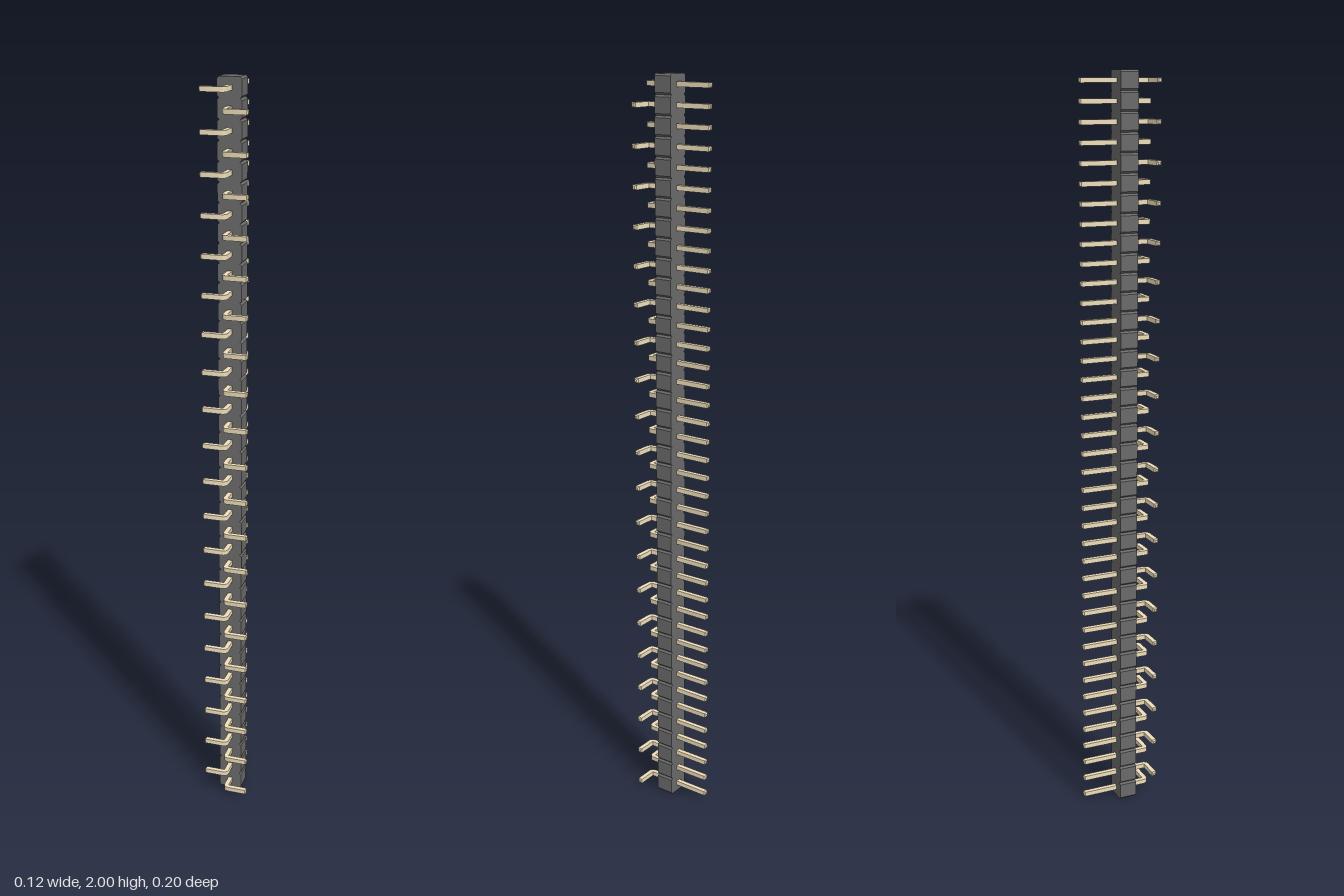
import * as THREE from 'three';
import { toCreasedNormals } from 'three/addons/utils/BufferGeometryUtils.js';

const COUNT = 40, PITCH = 0.05;
const PIN = 0.0126; // square pin thickness

// Bent square pin: straight tail along z, rounded elbow, foot along +x
function pinGeometry() {
  const h = PIN / 2, tip = 0.0032, back = -0.1, front = 0.0985, reach = 0.0615;
  const r = h + 0.0008; // centre-line bend radius
  const cx = r, cz = front - h - r; // bend centre
  // each ring: centre x, centre z, heading angle (0 = +z, PI/2 = +x), half size
  const rings = [[0, back, 0, h / 2], [0, back + tip, 0, h]];
  const steps = 6;
  for (let i = 0; i <= steps; i++) {
    const a = (i / steps) * Math.PI / 2;
    rings.push([cx - r * Math.cos(a), cz + r * Math.sin(a), a, h]);
  }
  rings.push([reach - tip, front - h, Math.PI / 2, h], [reach, front - h, Math.PI / 2, h / 2]);

  const pos = [], idx = [];
  const corners = [[-1, -1], [1, -1], [1, 1], [-1, 1]];
  for (const [x, z, a, s] of rings)
    for (const [u, v] of corners)
      pos.push(x + u * s * Math.cos(a), v * s, z - u * s * Math.sin(a));
  for (let i = 0; i < rings.length - 1; i++)
    for (let k = 0; k < 4; k++) {
      const a = i * 4 + k, b = i * 4 + (k + 1) % 4;
      idx.push(a, b, b + 4, a, b + 4, a + 4);
    }
  const e = (rings.length - 1) * 4;
  idx.push(0, 2, 1, 0, 3, 2, e, e + 1, e + 2, e, e + 2, e + 3);

  const geo = new THREE.BufferGeometry();
  geo.setAttribute('position', new THREE.Float32BufferAttribute(pos, 3));
  geo.setIndex(idx);
  return toCreasedNormals(geo, 0.4);
}

// Housing strip: one chamfered block per pin, joined in a row
function housingGeometry() {
  const w = 0.0315, c = 0.005;
  const right = [], left = [];
  for (let i = 0; i < COUNT; i++) {
    const y = i * PITCH;
    for (const [x, dy] of [[w - c, 0], [w, c], [w, PITCH - c]]) {
      right.push(new THREE.Vector2(x, y + dy));
      left.unshift(new THREE.Vector2(-x, y + dy));
    }
  }
  right.push(new THREE.Vector2(w - c, COUNT * PITCH), new THREE.Vector2(c - w, COUNT * PITCH));
  const shape = new THREE.Shape([...right, ...left]);
  return new THREE.ExtrudeGeometry(shape, { depth: 0.0485, bevelEnabled: false });
}

export function createModel() {
  const model = new THREE.Group();
  model.name = 'pinHeader';
  const plastic = new THREE.MeshStandardMaterial({ color: 0x6b6a6a });
  const metal = new THREE.MeshStandardMaterial({ color: 0xeedebb });

  const housing = new THREE.Mesh(housingGeometry(), plastic);
  housing.name = 'housing';
  model.add(housing);

  // Pins, with feet alternating left and right from the bottom up
  const pins = new THREE.Group();
  pins.name = 'pins';
  const geo = pinGeometry();
  for (let i = 0; i < COUNT; i++) {
    const pin = new THREE.Mesh(geo, metal);
    pin.name = i % 2 ? 'rightPin' : 'leftPin';
    pin.position.y = (i + 0.5) * PITCH;
    pin.rotation.z = i % 2 ? Math.PI : 0;
    pins.add(pin);
  }
  model.add(pins);
  return model;
}
